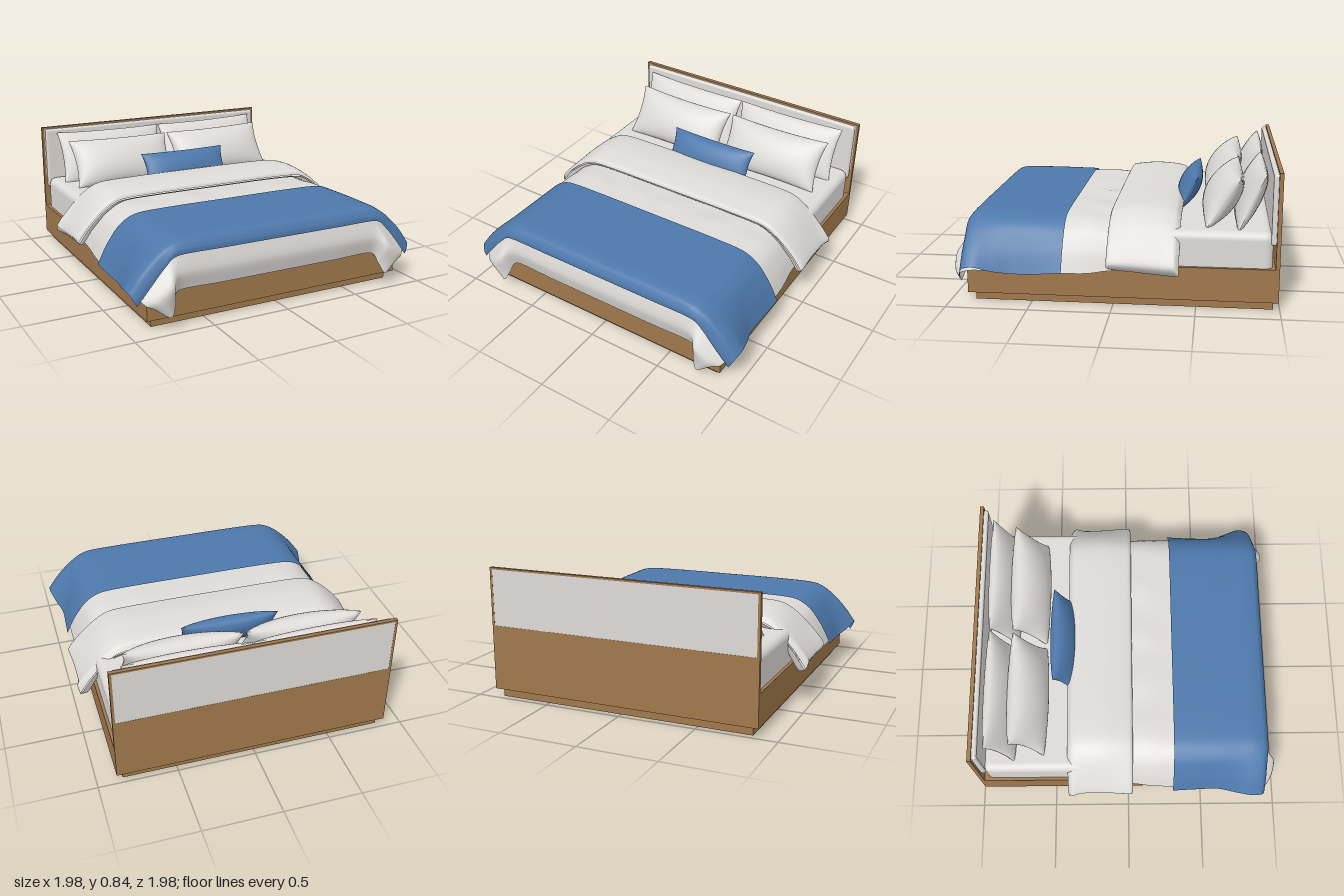
import * as THREE from 'three';
import { mergeGeometries } from 'three/addons/utils/BufferGeometryUtils.js';
import { RoundedBoxGeometry } from 'three/addons/geometries/RoundedBoxGeometry.js';

const material = (name, color, side = THREE.FrontSide) => {
  const m = new THREE.MeshStandardMaterial({ color, side });
  m.name = name;
  return m;
};

// Half cross-section of cloth draped over the bed, from the middle to the hem
const drape = (z, top, hemX, hemY) => [
  [0, top, z], [0.4, top, z], [0.68, top - 0.01, z], [0.8, top - 0.07, z],
  [(0.8 + hemX) / 2 + 0.015, (top - 0.07 + hemY) / 2, z], [hemX, hemY, z],
];

const mirrorRow = (half) => [
  ...half.slice(1).reverse().map(([x, y, z]) => [-x, y, z]), ...half,
];

// Outer row followed by the inner row, making a closed band with thickness t
const thickRow = (half, t) => {
  const outer = mirrorRow(half);
  const inner = outer.map(([x, y, z]) => [x * (1 - t), y - t, z]).reverse();
  return [...outer, ...inner];
};

// Smooth surface through rows of points
function loft(rows, closed = false, nu = 72, nv = 40) {
  const sample = (pts, n, loop) => {
    const curve = new THREE.CatmullRomCurve3(pts, loop, 'catmullrom', 0.4);
    return Array.from({ length: n + 1 }, (_, i) => curve.getPoint(i / n));
  };
  const across = rows.map((r) => sample(r.map((p) => new THREE.Vector3(...p)), nu, closed));
  const columns = across[0].map((_, i) => sample(across.map((r) => r[i]), nv, false));
  const pos = [], index = [];
  for (let j = 0; j <= nv; j++) {
    for (let i = 0; i <= nu; i++) {
      pos.push(...columns[i][j].toArray());
      if (i < nu && j < nv) {
        const a = j * (nu + 1) + i, b = a + nu + 1;
        index.push(a, b, a + 1, a + 1, b, b + 1);
      }
    }
  }
  const g = new THREE.BufferGeometry();
  g.setAttribute('position', new THREE.Float32BufferAttribute(pos, 3));
  g.setIndex(index);
  g.computeVertexNormals();
  return g;
}

// Two bulging faces meeting in a seam, with edges pinched between the corners
function pillowGeometry(w, h, t, pinch) {
  const faces = [1, -1].map((s) => {
    const g = new THREE.PlaneGeometry(2, 2, 28, 20);
    const p = g.attributes.position;
    for (let i = 0; i < p.count; i++) {
      const u = Math.sin(p.getX(i) * Math.PI / 2), v = Math.sin(p.getY(i) * Math.PI / 2);
      const bulge = Math.pow(Math.max(0, (1 - u * u) * (1 - v * v)), 0.45);
      p.setXYZ(i, s * w / 2 * u * (1 - pinch * (1 - v * v)),
        h / 2 * v * (1 - pinch * (1 - u * u)), s * t / 2 * bulge);
    }
    g.computeVertexNormals();
    return g;
  });
  return mergeGeometries(faces);
}

export function createModel() {
  const model = new THREE.Group();
  model.name = 'bed';
  const wood = material('oak wood', 0xa0784c);
  const linen = material('white linen', 0xdddbd8, THREE.DoubleSide);
  const blue = material('blue cloth', 0x4d78ab, THREE.DoubleSide);

  const add = (name, geometry, mat, x = 0, y = 0, z = 0) => {
    const m = new THREE.Mesh(geometry, mat);
    m.name = name;
    m.position.set(x, y, z);
    model.add(m);
    return m;
  };
  // Box given by its limits
  const box = (name, x0, x1, y0, y1, z0, z1, mat, r = 0) => add(name,
    r ? new RoundedBoxGeometry(x1 - x0, y1 - y0, z1 - z0, 4, r)
      : new THREE.BoxGeometry(x1 - x0, y1 - y0, z1 - z0),
    mat, (x0 + x1) / 2, (y0 + y1) / 2, (z0 + z1) / 2);

  // Wooden base
  box('plinth', -0.84, 0.84, 0, 0.06, -0.96, 0.85, wood);
  box('bedFrame', -0.88, 0.88, 0.055, 0.26, -0.97, 0.89, wood);

  // Headboard with wooden surround and upholstered panel
  box('headboardLower', -0.88, 0.88, 0.055, 0.47, -0.99, -0.965, wood);
  box('headboardTopRail', -0.88, 0.88, 0.828, 0.84, -0.99, -0.965, wood);
  for (const s of [-1, 1]) {
    box('headboardPost', s * 0.872 - 0.008, s * 0.872 + 0.008, 0.47, 0.828, -0.99, -0.965, wood);
  }
  box('headboardBackPanel', -0.864, 0.864, 0.47, 0.828, -0.989, -0.967, linen);
  box('headboardCushion', -0.86, 0.86, 0.4, 0.828, -0.972, -0.935, linen, 0.016);

  // Mattress
  box('mattress', -0.86, 0.86, 0.2, 0.475, -0.95, -0.15, linen, 0.05);

  // Duvet, with a front face and flared lower corners
  const duvet = loft([
    drape(-0.3, 0.5, 0.9, 0.26),
    drape(0, 0.505, 0.9, 0.23),
    drape(0.15, 0.515, 0.915, 0.215),
    drape(0.3, 0.512, 0.92, 0.21),
    drape(0.6, 0.512, 0.915, 0.205),
    drape(0.82, 0.512, 0.96, 0.225),
    drape(0.88, 0.495, 0.955, 0.215),
    [[0, 0.42, 0.905], [0.4, 0.42, 0.905], [0.68, 0.42, 0.905], [0.77, 0.37, 0.9], [0.86, 0.27, 0.91], [0.93, 0.2, 0.91]],
    [[0, 0.32, 0.925], [0.4, 0.32, 0.925], [0.68, 0.32, 0.93], [0.755, 0.27, 0.985], [0.84, 0.2, 0.975], [0.9, 0.17, 0.94]],
    [[0, 0.215, 0.9], [0.4, 0.215, 0.9], [0.68, 0.215, 0.9], [0.72, 0.15, 0.94], [0.76, 0.085, 0.965], [0.86, 0.15, 0.94]],
  ].map(mirrorRow));
  // Soft creases running out from under the fold
  const p = duvet.attributes.position;
  for (let i = 0; i < p.count; i++) {
    const x = p.getX(i), z = p.getZ(i);
    const fade = Math.max(0, 1 - Math.abs(z - 0.1) / 0.18);
    p.setY(i, p.getY(i) + 0.006 * fade * Math.sin(x * 17 + z * 6 * Math.sign(x)));
  }
  duvet.computeVertexNormals();
  add('duvet', duvet, linen);

  // Turned-back fold of the duvet
  add('duvetFold', loft([
    thickRow(drape(0.03, 0.54, 0.97, 0.29), 0.006),
    thickRow(drape(0.005, 0.567, 0.985, 0.3), 0.045),
    thickRow(drape(-0.15, 0.585, 0.975, 0.29), 0.055),
    thickRow(drape(-0.3, 0.577, 0.975, 0.28), 0.06),
    thickRow(drape(-0.37, 0.56, 0.99, 0.28), 0.06),
    thickRow(drape(-0.4, 0.525, 0.975, 0.25), 0.006),
  ], true, 110), linen);

  // Blue throw across the foot, lapping over the front edge
  add('throw', loft([
    drape(0.3, 0.525, 0.95, 0.22),
    drape(0.45, 0.528, 0.94, 0.205),
    drape(0.6, 0.53, 0.935, 0.2),
    drape(0.72, 0.53, 0.965, 0.22),
    drape(0.82, 0.53, 0.99, 0.25),
    drape(0.89, 0.515, 0.985, 0.24),
    [[0, 0.47, 0.92], [0.4, 0.47, 0.92], [0.69, 0.465, 0.92], [0.785, 0.4, 0.918], [0.885, 0.3, 0.918], [0.965, 0.2, 0.915]],
    [[0, 0.438, 0.924], [0.4, 0.438, 0.924], [0.69, 0.436, 0.924], [0.775, 0.378, 0.924], [0.87, 0.27, 0.924], [0.95, 0.17, 0.918]],
  ].map(mirrorRow)), blue);

  // Pillows, leaning back against the headboard
  const pillow = (name, w, h, t, pinch, mat, x, y, z, tilt, yaw = 0) => {
    const m = add(name, pillowGeometry(w, h, t, pinch), mat, x, y, z);
    m.rotation.set(-tilt, 0, yaw);
  };
  for (const s of [-1, 1]) {
    pillow('backPillow', 0.79, 0.38, 0.15, 0.05, linen, s * 0.4, 0.63, -0.82, 0.42, s * 0.012);
    pillow('frontPillow', 0.75, 0.36, 0.21, 0.07, linen, s * 0.385, 0.615, -0.65, 0.58, s * 0.012);
  }
  pillow('blueCushion', 0.64, 0.24, 0.14, 0.06, blue, 0.01, 0.577, -0.43, 0.5);

  return model;
}
